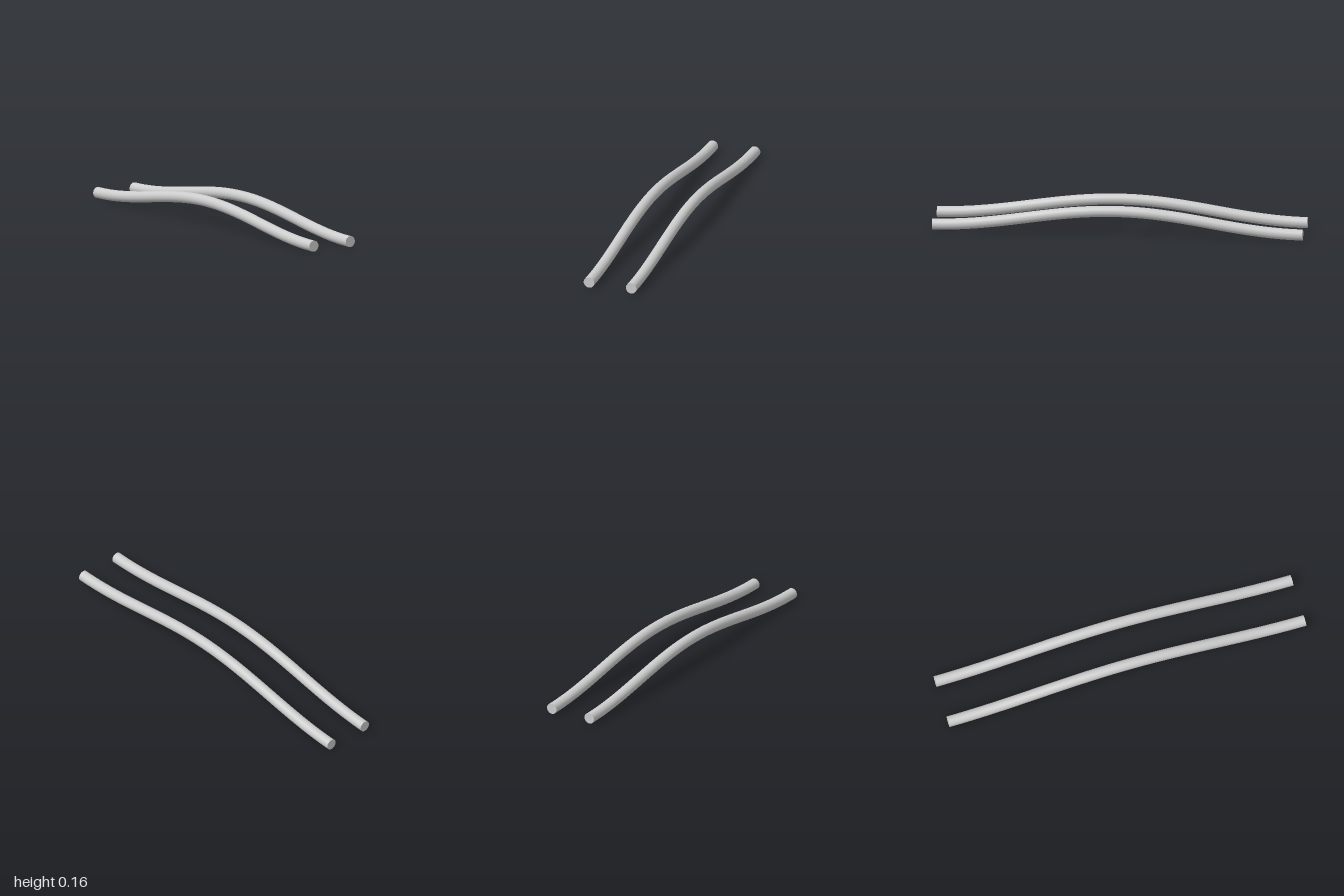
import * as THREE from 'three';

const RADIUS = 0.03;
const SIDES = 32;

// Centre line of a rail: a gentle hump, level at both ends and at the crest
class HumpCurve extends THREE.Curve {
  getPoint(t, target = new THREE.Vector3()) {
    const z = 1 - 2 * t;
    return target.set(0, 0.08 + 0.05 * Math.cos(Math.PI * z), z);
  }
}

function createRail(name, x, material) {
  const rail = new THREE.Group();
  rail.name = name;
  rail.position.x = x;

  // Bent round bar
  const bar = new THREE.Mesh(
    new THREE.TubeGeometry(new HumpCurve(), 80, RADIUS, SIDES, false), material);
  bar.name = 'bar';
  rail.add(bar);

  // Flat end faces
  for (const side of [1, -1]) {
    const cap = new THREE.Mesh(new THREE.CircleGeometry(RADIUS, SIDES), material);
    cap.name = side > 0 ? 'frontCap' : 'backCap';
    cap.position.set(0, RADIUS, side);
    if (side < 0) cap.rotation.y = Math.PI;
    rail.add(cap);
  }
  return rail;
}

export function createModel() {
  const model = new THREE.Group();
  model.name = 'curvedRails';
  const material = new THREE.MeshStandardMaterial({ color: 0xcccccc });
  model.add(createRail('leftRail', 0.12, material));
  model.add(createRail('rightRail', -0.12, material));
  return model;
}
